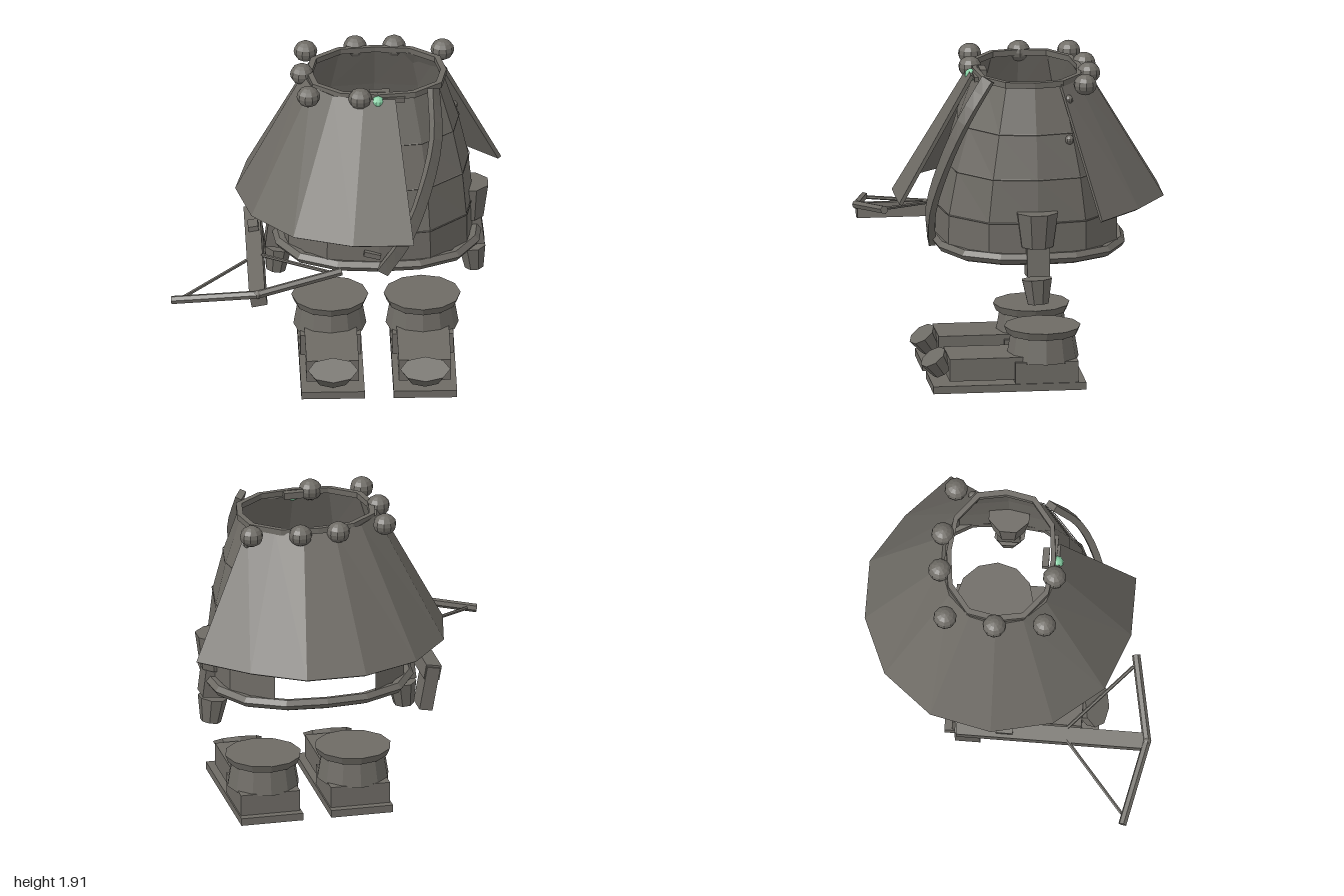
import * as THREE from 'three';

const CX = 0.24, CZ = -0.08;
const V = (x, y, z) => new THREE.Vector3(x, y, z);

export function createModel() {
  const model = new THREE.Group();
  const gray = new THREE.MeshStandardMaterial({ color: 0x6e6b65, flatShading: true, side: THREE.DoubleSide });
  gray.name = 'warm gray';
  const green = new THREE.MeshStandardMaterial({ color: 0x86d0a4, flatShading: true });
  green.name = 'pale green';

  function add(name, geo, pos = [0, 0, 0], rot = [0, 0, 0], parent = model, mat = gray) {
    const m = new THREE.Mesh(geo, mat);
    m.name = name;
    m.position.set(...pos);
    m.rotation.set(...rot);
    parent.add(m);
    return m;
  }
  const box = (name, size, pos, rot, parent) => add(name, new THREE.BoxGeometry(...size), pos, rot, parent);
  const ball = (name, r, pos, mat) => add(name, new THREE.SphereGeometry(r, 10, 8), pos, [0, 0, 0], model, mat);
  const prism = (name, rt, rb, h, sides, pos, rot, parent) =>
    add(name, new THREE.CylinderGeometry(rt, rb, h, sides), pos, rot, parent);
  // Six-sided bar between two points
  function bar(name, a, b, w) {
    const m = prism(name, w, w, a.distanceTo(b), 6, a.clone().add(b).multiplyScalar(0.5).toArray());
    m.quaternion.setFromUnitVectors(V(0, 1, 0), b.clone().sub(a).normalize());
    return m;
  }

  // Lathe with slightly squared corners, whose depth narrows toward the neck
  function shell(name, profile, segs, start = 0, length = Math.PI * 2, depth = 0.95) {
    const g = new THREE.LatheGeometry(profile.map(p => new THREE.Vector2(...p)), segs, start, length);
    const p = g.attributes.position, n = 2.6;
    for (let i = 0; i < p.count; i++) {
      const x = p.getX(i), z = p.getZ(i), r = Math.hypot(x, z);
      const k = (Math.abs(x / r) ** n + Math.abs(z / r) ** n) ** (-1 / n);
      const t = THREE.MathUtils.clamp((p.getY(i) - 1.05) / 0.82, 0, 1);
      p.setX(i, x * k);
      p.setZ(i, z * k * (depth - 0.17 * t));
    }
    g.computeVertexNormals();
    return add(name, g, [CX, 0, CZ]);
  }

  // Hollow torso; the lowest row is open at the back
  shell('torso', [[0.57, 1.05], [0.545, 1.31], [0.485, 1.57], [0.39, 1.86]], 12);
  shell('torsoSkirt', [[0.575, 0.84], [0.572, 1.05]], 10, Math.PI * 7 / 6, Math.PI * 5 / 3);
  shell('hem', [[0.57, 0.8], [0.605, 0.815], [0.625, 0.845], [0.6, 0.875], [0.565, 0.87], [0.57, 0.8]], 16, 0, Math.PI * 2, 0.92);
  shell('collar', [[0.38, 1.835], [0.415, 1.835], [0.415, 1.87], [0.38, 1.87], [0.38, 1.835]], 12);
  // Raised seams between the torso rows
  for (const [y, r] of [[1.05, 0.574], [1.31, 0.549], [1.57, 0.489]]) {
    shell('torsoSeam', [[r, y - 0.004], [r + 0.004, y], [r, y + 0.004]], 12);
  }

  // Cape of ten flat panels; the corners of its lower edge run from left to front
  const cape = new THREE.Group();
  cape.name = 'cape';
  model.add(cape);
  const capeEdge = [[0.99, -0.44], [0.72, -0.69], [0.42, -0.875], [0.06, -0.875], [-0.28, -0.73], [-0.515, -0.44],
    [-0.595, -0.075], [-0.51, 0.29], [-0.27, 0.575], [0.08, 0.705], [0.44, 0.705]];
  const capePoint = ([x, z], top, inner) => V(
    CX + (x - CX) * ((top ? 0.52 : 1) - inner * 0.025),
    (top ? 1.85 : 1.1) - inner * 0.012,
    CZ + (z - CZ) * ((top ? 0.44 : 1) - inner * 0.025));
  for (let i = 0; i < 10; i++) {
    const a = capeEdge[i], b = capeEdge[i + 1], c = [];
    for (const d of [0, 1]) c.push(capePoint(a, true, d), capePoint(b, true, d), capePoint(b, false, d), capePoint(a, false, d));
    const g = new THREE.BufferGeometry();
    g.setAttribute('position', new THREE.Float32BufferAttribute(c.flatMap(p => p.toArray()), 3));
    g.setIndex([0, 1, 2, 0, 2, 3, 4, 6, 5, 4, 7, 6, 0, 4, 5, 0, 5, 1, 1, 5, 6, 1, 6, 2, 2, 6, 7, 2, 7, 3, 3, 7, 4, 3, 4, 0]);
    g.computeVertexNormals();
    add('capePanel', g, [0, 0, 0], [0, 0, 0], cape);
  }

  // Beads around the neck, clasp and gem
  for (const [x, z] of [[0.64, -0.38], [0.355, -0.435], [0.125, -0.435], [-0.17, -0.38], [-0.2, -0.085], [-0.17, 0.21], [0.135, 0.245]]) {
    ball('neckBead', 0.07, [x, 1.848, z]).scale.y = 0.9;
  }
  ball('gem', 0.038, [0.24, 1.825, 0.252], green);
  box('clasp', [0.2, 0.03, 0.03], [0.3, 1.835, 0.235]);
  box('claspPlate', [0.12, 0.04, 0.04], [0.25, 1.85, 0.185]);
  for (const [x, y] of [[0.64, 1.76], [0.7, 1.53]]) ball('sideStud', 0.028, [x, y, -0.28]);

  // Strap running diagonally down the front, swept as a flat band
  const strapCurve = new THREE.CatmullRomCurve3([
    V(0.57, 1.88, 0.19), V(0.58, 1.62, 0.34), V(0.51, 1.33, 0.45), V(0.4, 1.05, 0.51), V(0.26, 0.82, 0.49)]);
  const strapPos = [], strapIdx = [], N = 12;
  for (let i = 0; i <= N; i++) {
    const p = strapCurve.getPoint(i / N), t = strapCurve.getTangent(i / N);
    const out = V(p.x - CX, 0, p.z - CZ).normalize();
    const side = t.clone().cross(out).normalize();
    out.crossVectors(side, t).normalize();
    for (const [s, o] of [[-1, -1], [1, -1], [1, 1], [-1, 1]]) {
      strapPos.push(...p.clone().addScaledVector(side, s * 0.036).addScaledVector(out, o * 0.02).toArray());
    }
    for (let k = 0; k < 4 && i < N; k++) {
      const a = i * 4 + k, b = i * 4 + (k + 1) % 4;
      strapIdx.push(a, b, b + 4, a, b + 4, a + 4);
    }
  }
  strapIdx.push(0, 2, 1, 0, 3, 2, N * 4, N * 4 + 1, N * 4 + 2, N * 4, N * 4 + 2, N * 4 + 3);
  const strapGeo = new THREE.BufferGeometry();
  strapGeo.setAttribute('position', new THREE.Float32BufferAttribute(strapPos, 3));
  strapGeo.setIndex(strapIdx);
  strapGeo.computeVertexNormals();
  add('strap', strapGeo);
  box('strapBuckle', [0.1, 0.03, 0.03], [0.2, 0.925, 0.475], [0, 0, -0.25]);

  // Arms, mirrored about the body axis
  for (const s of [1, -1]) {
    const arm = new THREE.Group();
    arm.name = s > 0 ? 'leftArm' : 'rightArm';
    arm.position.set(0.23, 0, -0.075);
    model.add(arm);
    prism('sleeve', 0.13, 0.1, 0.21, 8, [s * 0.55, 1.015, 0], [0, Math.PI / 8, 0], arm);
    box('wrist', [0.14, 0.17, 0.135], [s * 0.57, 0.82, 0], [0, 0, s * 0.12], arm);
    prism('hand', 0.098, 0.068, 0.15, 8, [s * 0.58, 0.64, 0], [0, Math.PI / 8, s * 0.1], arm).scale.x = 0.85;
  }

  // Anchor held at the right side
  box('anchorShank', [0.095, 0.09, 1.13], [-0.485, 0.83, 0.28], [0, 0, 0.18]);
  box('anchorStock', [0.08, 0.27, 0.15], [-0.465, 0.73, -0.22], [0, 0, 0.18]);
  box('anchorGrip', [0.06, 0.04, 0.1], [-0.49, 0.885, 0], [0, 0, 0.18]);
  const crown = V(-0.49, 0.862, 0.845);
  for (const [tip, strutTip, root] of [
    [V(-0.995, 0.78, 0.74), V(-0.93, 0.79, 0.73), V(-0.52, 0.86, 0.37)],
    [V(0.01, 0.955, 0.74), V(-0.06, 0.945, 0.73), V(-0.45, 0.88, 0.37)]]) {
    bar('anchorArm', crown, tip, 0.025);
    bar('anchorStrut', strutTip, root, 0.011);
  }
  ball('anchorCrown', 0.026, crown.toArray());

  // Feet
  for (const s of [1, -1]) {
    const foot = new THREE.Group();
    foot.name = s > 0 ? 'leftFoot' : 'rightFoot';
    foot.position.set(CX + s * 0.273, 0, 0);
    model.add(foot);
    box('sole', [0.375, 0.045, 0.91], [0, 0.0225, 0.075], undefined, foot);
    box('shoeBody', [0.31, 0.135, 0.6], [0, 0.133, 0.13], undefined, foot);
    box('heel', [0.36, 0.13, 0.375], [0, 0.108, -0.147], undefined, foot);
    prism('ankle', 0.19, 0.216, 0.15, 12, [0, 0.238, -0.14], undefined, foot);
    prism('ankleCuff', 0.228, 0.21, 0.045, 12, [0, 0.333, -0.14], undefined, foot);
    prism('toeCap', 0.085, 0.062, 0.1, 8, [0, 0.138, 0.485], [0.58, 0, 0], foot).scale.x = 1.75;
  }
  return model;
}
